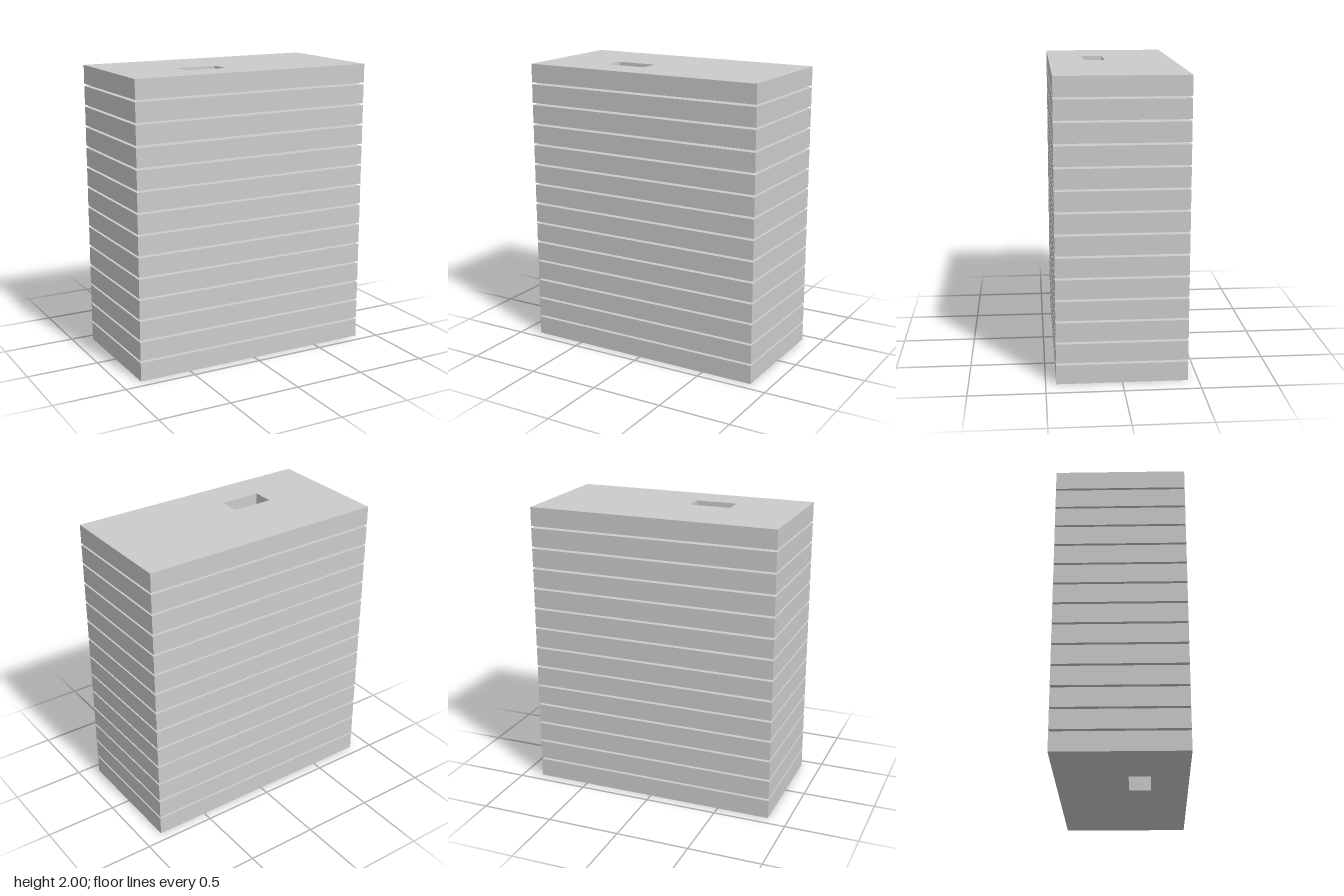
import * as THREE from 'three';

const U = 2 / 139; // one module: 14 slabs of 9 plus 13 gaps of 1

// Rectangle outline, corners given in modules
function rect(target, x0, y0, x1, y1) {
  target.moveTo(x0 * U, y0 * U);
  target.lineTo(x1 * U, y0 * U);
  target.lineTo(x1 * U, y1 * U);
  target.lineTo(x0 * U, y1 * U);
  target.closePath();
  return target;
}

export function createModel() {
  const group = new THREE.Group();
  group.name = 'slabStack';
  const material = new THREE.MeshStandardMaterial({ color: 0xcccccc });

  // Floor slab with a rectangular shaft opening (shape y becomes -z)
  const outline = rect(new THREE.Shape(), -60, -30, 60, 30);
  outline.holes.push(rect(new THREE.Path(), -27, -13, -7, -3));
  const slab = new THREE.ExtrudeGeometry(outline, { depth: 9 * U, bevelEnabled: false });
  slab.rotateX(-Math.PI / 2);

  // Fourteen separate slabs with thin open gaps between them
  for (let i = 0; i < 14; i++) {
    const mesh = new THREE.Mesh(slab, material);
    mesh.name = `floorSlab${i + 1}`;
    mesh.position.y = i * 10 * U;
    group.add(mesh);
  }
  return group;
}
